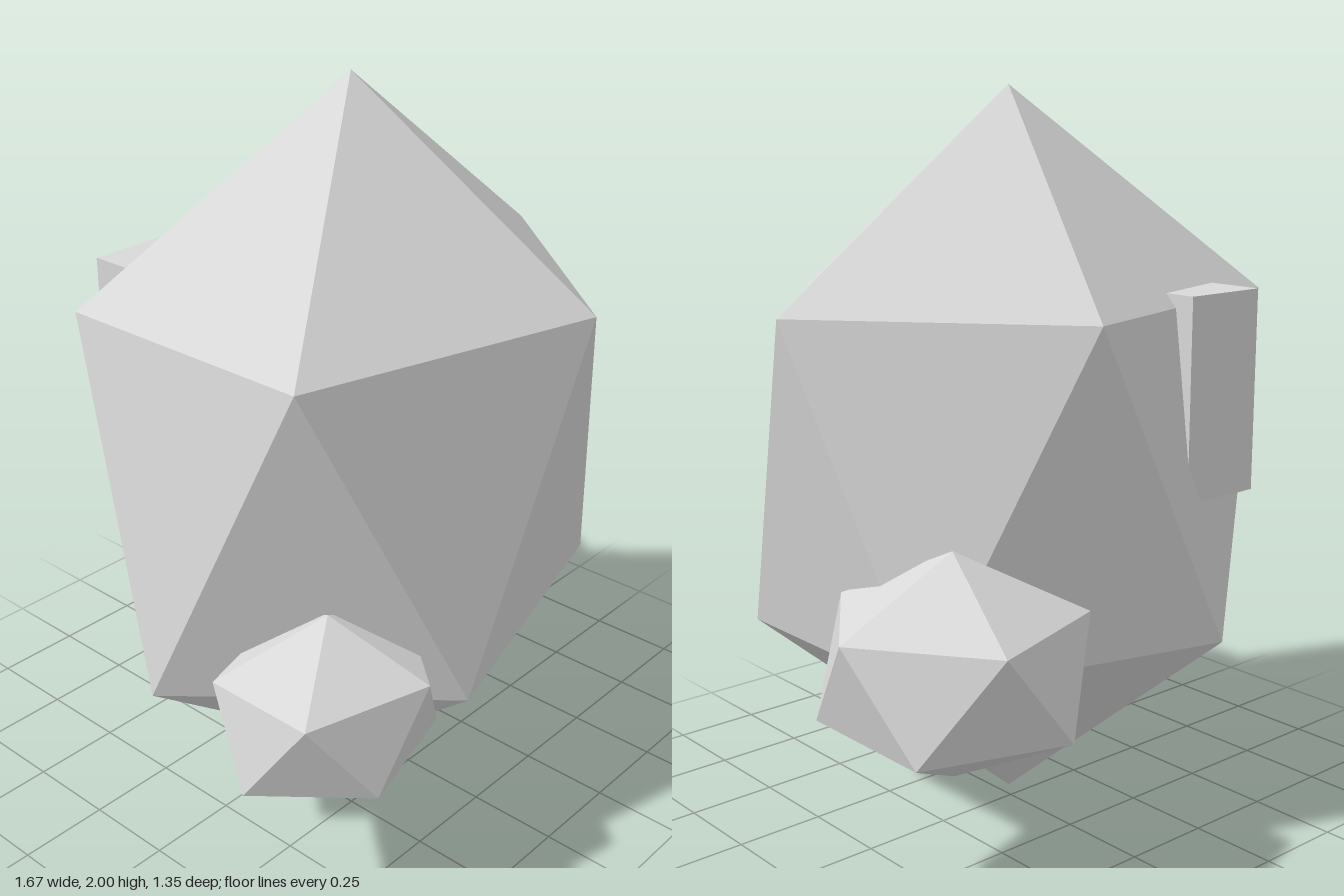
import * as THREE from 'three';

export function createModel() {
  const model = new THREE.Group();
  model.name = 'rockCluster';
  const stone = new THREE.MeshStandardMaterial({ color: 0xd8d8d8, flatShading: true });
  stone.name = 'paleGreyStone';

  // Icosahedron standing on one corner, stretched to the given radii
  function addStone(name, [x, y, z], [rx, ry, rz]) {
    const geo = new THREE.IcosahedronGeometry(1, 0);
    geo.rotateX(-Math.atan((1 + Math.sqrt(5)) / 2));
    geo.rotateY(Math.PI / 2);
    geo.scale(rx, ry, rz);
    const mesh = new THREE.Mesh(geo, stone);
    mesh.name = name;
    mesh.position.set(x, y, z);
    model.add(mesh);
  }

  addStone('mainBoulder', [-0.04, 1, 0.055], [0.832, 1, 0.708]);
  addStone('frontPebble', [-0.54, 0.587, 0.43], [0.335, 0.25, 0.288]);
  addStone('backPebble', [0.5, 0.627, -0.36], [0.373, 0.29, 0.375]);

  // Upright block set into the back of the boulder
  const slab = new THREE.Mesh(new THREE.BoxGeometry(0.25, 0.54, 0.24), stone);
  slab.name = 'backSlab';
  slab.position.set(-0.288, 1.212, -0.387);
  model.add(slab);

  return model;
}
